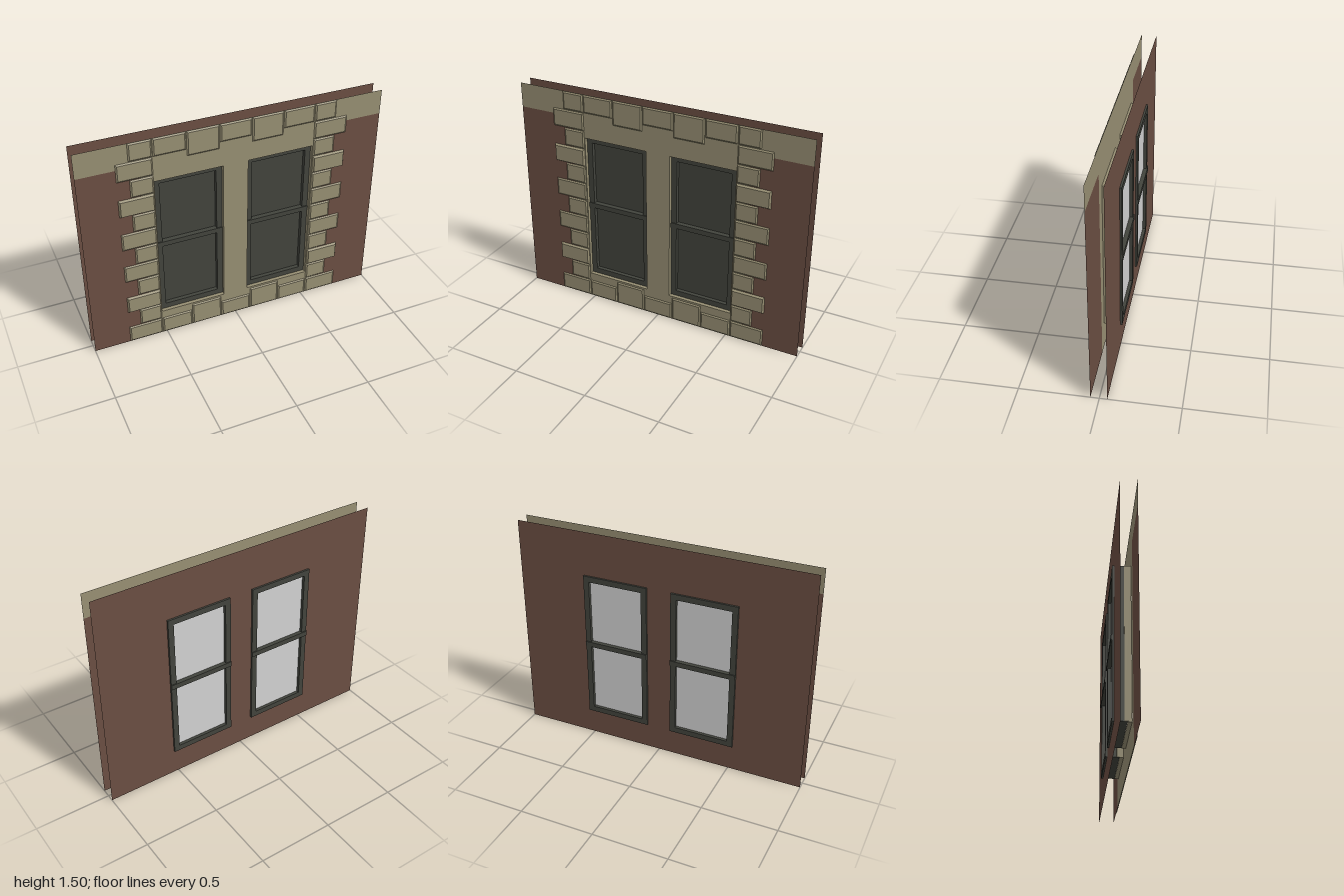
import * as THREE from 'three';

const mat = (name, color) => {
  const m = new THREE.MeshStandardMaterial({ color, side: THREE.DoubleSide });
  m.name = name;
  return m;
};

export function createModel() {
  const brick = mat('brick brown', 0x6b4e42);
  const stone = mat('sandstone', 0x978f73);
  const dark = mat('dark frame', 0x42443d);
  const glass = mat('pale pane', 0xd2d2d2);

  const model = new THREE.Group();
  model.name = 'windowWall';
  const WALL = 0.055, BACK = -0.048;
  // window opening, mirrored on x
  const X0 = 0.083, X1 = 0.528, Y0 = 0.18, Y1 = 1.203;
  const CX = (X0 + X1) / 2, CY = (Y0 + Y1) / 2, W = X1 - X0, H = Y1 - Y0;

  const add = (parent, name, geo, material, x = 0, y = 0, z = 0) => {
    const mesh = new THREE.Mesh(geo, material);
    mesh.name = name;
    mesh.position.set(x, y, z);
    parent.add(mesh);
    return mesh;
  };
  const rect = (x0, y0, x1, y1, Type = THREE.Shape) => {
    const p = new Type();
    p.moveTo(x0, y0).lineTo(x1, y0).lineTo(x1, y1).lineTo(x0, y1).closePath();
    return p;
  };
  const withWindows = (shape) => {
    shape.holes.push(rect(X0, Y0, X1, Y1, THREE.Path), rect(-X1, Y0, -X0, Y1, THREE.Path));
    return new THREE.ShapeGeometry(shape);
  };

  // thin front and back walls
  add(model, 'backWall', withWindows(rect(-1, 0, 1, 1.5)), brick, 0, 0, BACK);
  add(model, 'stoneSurround', withWindows(rect(-0.61, 0, 0.61, 1.335)), stone, 0, 0, WALL);
  add(model, 'stoneBand', new THREE.ShapeGeometry(rect(-1, 1.335, 1, 1.5)), stone, 0, 0, WALL);
  for (const [x0, x1] of [[-1, -0.61], [0.61, 1]]) {
    add(model, 'brickWall', new THREE.ShapeGeometry(rect(x0, 0, x1, 1.335)), brick, 0, 0, WALL);
  }

  // block with a chamfered front: the front corners are pulled inwards
  const block = (name, x0, y0, x1, y1, depth = 0.007) => {
    const gap = 0.002, bevel = 0.009;
    const w = x1 - x0 - 2 * gap, h = y1 - y0 - 2 * gap;
    let geo = new THREE.BoxGeometry(w, h, depth);
    const p = geo.attributes.position;
    for (let i = 0; i < p.count; i++) {
      if (p.getZ(i) > 0) {
        p.setX(i, p.getX(i) - Math.sign(p.getX(i)) * bevel);
        p.setY(i, p.getY(i) - Math.sign(p.getY(i)) * bevel);
      }
    }
    geo = geo.toNonIndexed();
    geo.computeVertexNormals();
    add(model, name, geo, stone, (x0 + x1) / 2, (y0 + y1) / 2, WALL + 0.0005 + depth / 2);
  };

  // quoins up both sides, alternately long and short
  for (let i = 0; i < 12; i++) {
    const outer = i % 2 ? 0.68 : 0.76;
    const depth = i === 2 || i === 8 ? 0.014 : 0.007;
    const y = i * 0.125;
    block('quoin', 0.53, y, outer, y + 0.125, depth);
    block('quoin', -outer, y, -0.53, y + 0.125, depth);
  }

  // rows of blocks above and below the windows
  const step = 1.06 / 5;
  for (let i = 0; i < 5; i++) {
    const x = -0.53 + i * step, extra = i % 2 ? 0.045 : 0;
    block('lintelBlock', x, 1.375 - extra, x + step, 1.5);
    block('baseBlock', x, 0, x + step, 0.125 + extra);
  }

  for (const side of [-1, 1]) {
    const win = new THREE.Group();
    win.name = side > 0 ? 'leftWindow' : 'rightWindow';
    win.position.set(side * CX, CY, 0);
    model.add(win);

    // stone reveal between wall and frame
    for (const s of [-1, 1]) {
      add(win, 'revealSide', new THREE.BoxGeometry(0.003, H, 0.043), stone, s * (W / 2 + 0.001), 0, 0.033);
      add(win, 'revealEnd', new THREE.BoxGeometry(W, 0.003, 0.025), stone, 0, s * (H / 2 + 0.001), 0.042);
    }

    // frame with opening, crossing rail and panes
    const border = 0.038;
    const ring = rect(-W / 2, -H / 2, W / 2, H / 2);
    ring.holes.push(rect(-W / 2 + border, -H / 2 + border, W / 2 - border, H / 2 - border, THREE.Path));
    add(win, 'frame', new THREE.ExtrudeGeometry(ring, { depth: 0.09, bevelEnabled: false }), dark, 0, 0, -0.061);
    add(win, 'meetingRail', new THREE.BoxGeometry(W, 0.034, 0.103), dark, 0, 0.712 - CY, -0.0165);
    const pane = new THREE.PlaneGeometry(W - 2 * border, H - 2 * border);
    add(win, 'frontPane', pane, dark, 0, 0, 0.002);
    add(win, 'backPane', pane, glass, 0, 0, -0.04);
  }

  return model;
}
